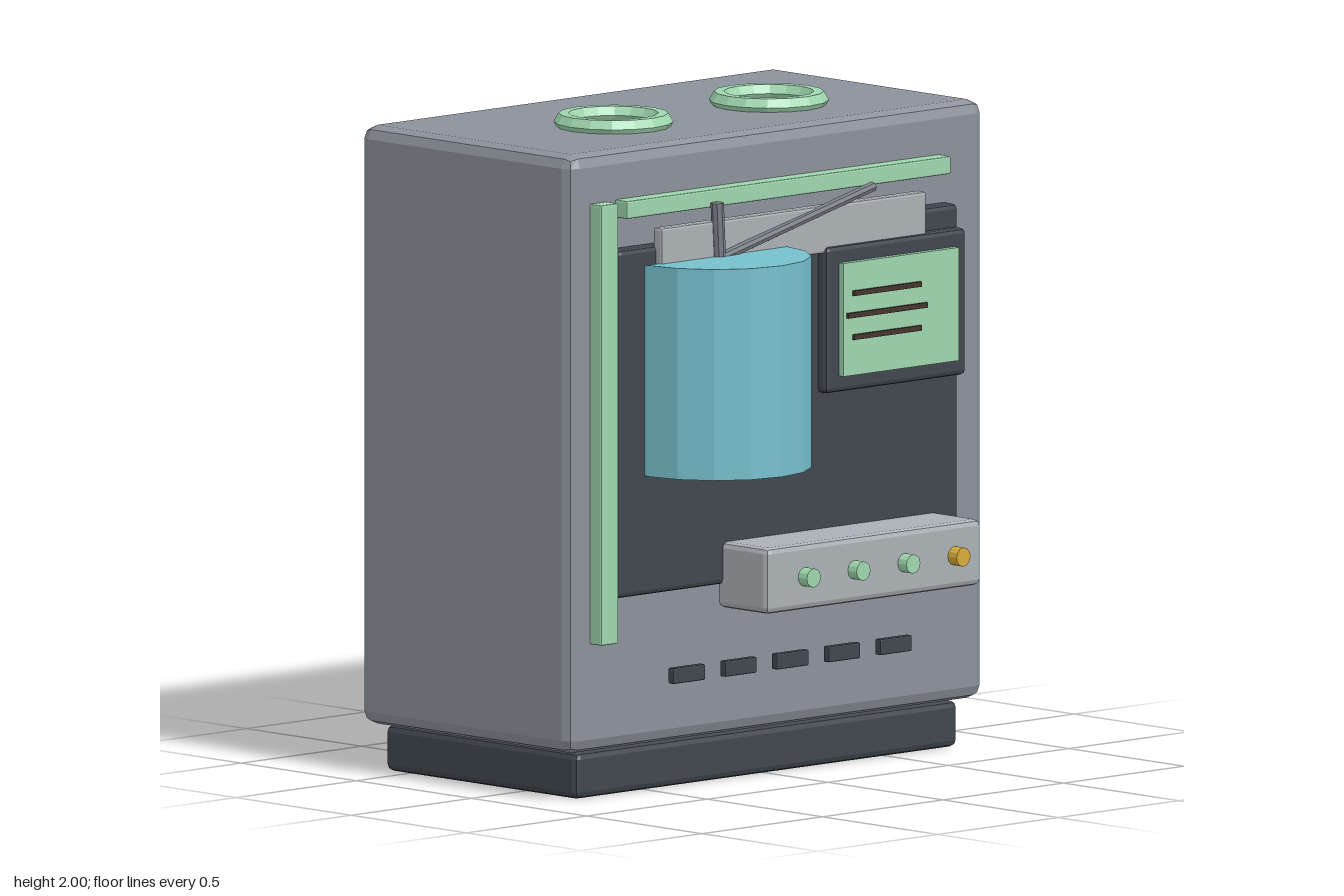
import * as THREE from 'three';
import { RoundedBoxGeometry } from 'three/addons/geometries/RoundedBoxGeometry.js';

const mat = (color) => new THREE.MeshStandardMaterial({ color, flatShading: true });
const steel = mat(0x8c929b), dark = mat(0x40474e), green = mat(0x9fd6ae), plate = mat(0xaab0b4);
const blue = mat(0x76c0cc), yellow = mat(0xd6ab3a), ink = mat(0x45342e), rodGrey = mat(0x777d84);

export function createModel() {
  const model = new THREE.Group();
  model.name = 'mixingMachine';

  const add = (name, geometry, material, x = 0, y = 0, z = 0) => {
    const mesh = new THREE.Mesh(geometry, material);
    mesh.name = name;
    mesh.position.set(x, y, z);
    model.add(mesh);
    return mesh;
  };
  // Box given by its limits; r > 0 rounds the edges
  const box = (name, material, [x0, x1], [y0, y1], [z0, z1], r = 0) => {
    const size = [x1 - x0, y1 - y0, z1 - z0];
    const geometry = r ? new RoundedBoxGeometry(...size, 1, r) : new THREE.BoxGeometry(...size);
    return add(name, geometry, material, (x0 + x1) / 2, (y0 + y1) / 2, (z0 + z1) / 2);
  };
  // Round bar between two points
  const rod = (name, a, b, r) => {
    const from = new THREE.Vector3(...a), to = new THREE.Vector3(...b);
    const dir = to.clone().sub(from);
    const mesh = add(name, new THREE.CylinderGeometry(r, r, dir.length(), 8), rodGrey);
    mesh.position.copy(from).add(to).multiplyScalar(0.5);
    mesh.quaternion.setFromUnitVectors(new THREE.Vector3(0, 1, 0), dir.normalize());
  };

  // Cabinet and plinth
  box('cabinet', steel, [-0.86, 0.86], [0.145, 1.96], [-0.635, 0.283], 0.04);
  box('plinth', dark, [-0.795, 0.79], [0, 0.14], [-0.59, 0.24], 0.02);

  // Inlet rings on top
  for (const x of [-0.325, 0.32]) {
    const ring = new THREE.TorusGeometry(0.15, 0.03, 6, 16).rotateX(Math.PI / 2);
    add('inletRing', ring, green, x, 1.974, -0.09);
  }

  // Front panel and light strips
  box('frontPanel', dark, [-0.71, 0.703], [0.61, 1.665], [0.27, 0.332], 0.015);
  box('sideStrip', green, [-0.782, -0.71], [0.475, 1.81], [0.283, 0.335], 0.005);
  box('topStrip', green, [-0.675, 0.67], [1.758, 1.812], [0.28, 0.335], 0.005);
  box('namePlate', plate, [-0.553, 0.546], [1.575, 1.72], [0.32, 0.358], 0.008);

  // Half-round tank with stirring rods
  const tank = new THREE.CylinderGeometry(0.286, 0.286, 0.64, 8, 1, false, -Math.PI / 2, Math.PI);
  add('tank', tank, blue, -0.315, 1.292, 0.345);
  box('tankBack', blue, [-0.6, -0.03], [0.973, 1.61], [0.325, 0.345]);
  rod('shortRod', [-0.325, 1.775, 0.36], [-0.315, 1.58, 0.36], 0.02);
  rod('longRod', [-0.32, 1.605, 0.36], [0.33, 1.757, 0.35], 0.016);

  // Display with readout lines
  box('displayFrame', dark, [0.12, 0.703], [1.15, 1.595], [0.31, 0.368], 0.015);
  box('displayScreen', green, [0.172, 0.652], [1.2, 1.543], [0.36, 0.388]);
  for (const [y, x0, x1] of [[1.449, 0.21, 0.49], [1.383, 0.185, 0.515], [1.316, 0.21, 0.49]])
    box('readoutLine', ink, [x0, x1], [y - 0.008, y + 0.008], [0.385, 0.396]);

  // Control box with buttons
  box('controlBox', plate, [-0.275, 0.615], [0.538, 0.738], [0.305, 0.525], 0.018);
  [-0.118, 0.088, 0.295, 0.503].forEach((x, i) => {
    const button = new THREE.CylinderGeometry(0.029, 0.029, 0.06, 12).rotateX(Math.PI / 2);
    add('button', button, i === 3 ? yellow : green, x, 0.638, 0.533);
  });

  // Row of vent slats
  for (let i = 0; i < 5; i++) {
    const x = -0.432 + i * 0.2145;
    box('ventSlat', dark, [x - 0.066, x + 0.066], [0.332, 0.38], [0.328, 0.352], 0.004);
  }
  return model;
}
